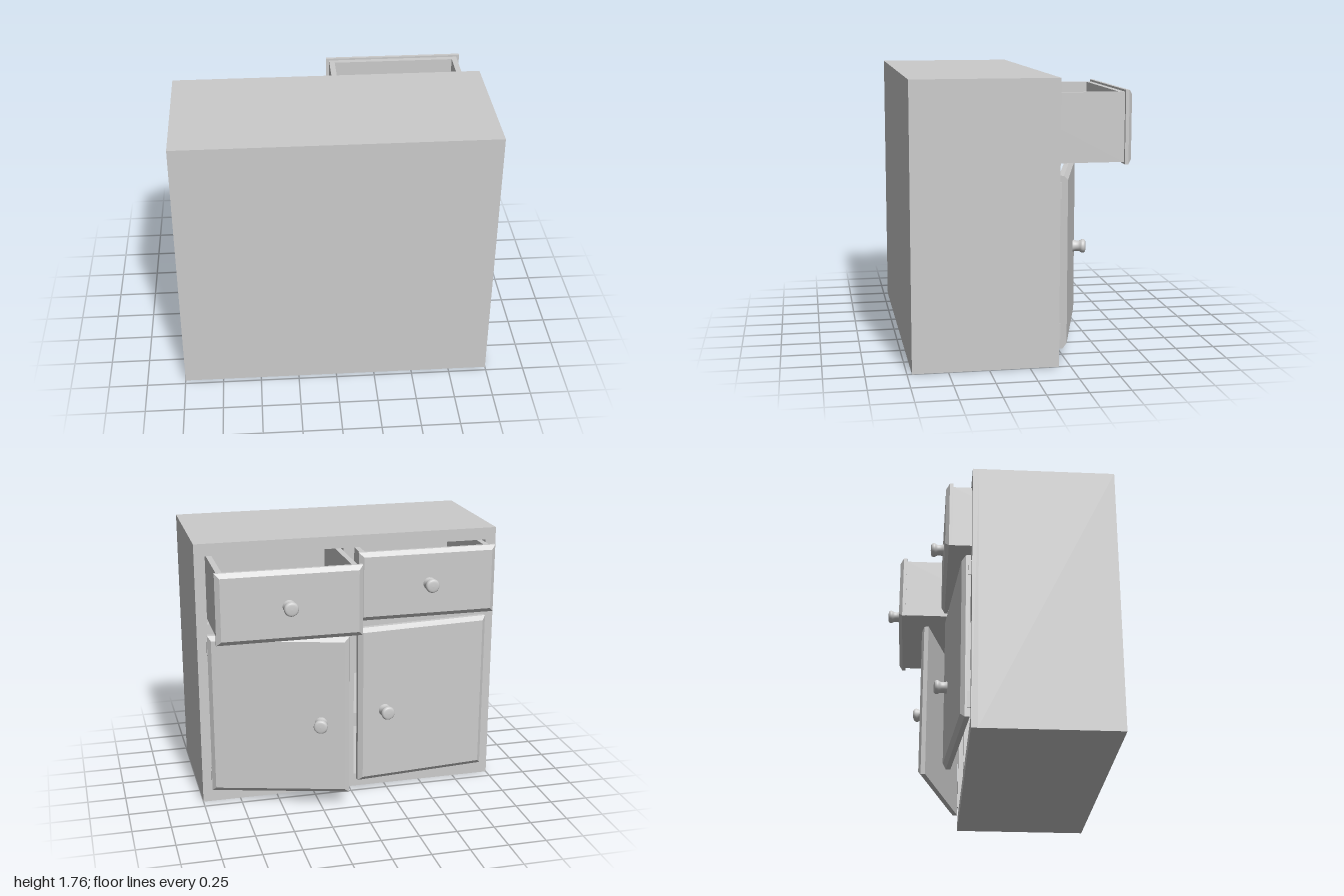
import * as THREE from 'three';

const mat = new THREE.MeshStandardMaterial({ color: 0xcccccc });
const FRONT = -0.18; // the doors and drawers open towards -z

function add(parent, name, geometry, x = 0, y = 0, z = 0) {
  const mesh = new THREE.Mesh(geometry, mat);
  mesh.name = name;
  mesh.position.set(x, y, z);
  parent.add(mesh);
  return mesh;
}

function rect(Type, x0, y0, x1, y1) {
  const s = new Type();
  s.moveTo(x0, y0);
  s.lineTo(x1, y0);
  s.lineTo(x1, y1);
  s.lineTo(x0, y1);
  s.closePath();
  return s;
}

// Rectangular plate with rectangular holes, extruded along z
function plate(outer, holes, depth) {
  const shape = rect(THREE.Shape, ...outer);
  shape.holes = holes.map(h => rect(THREE.Path, ...h));
  return new THREE.ExtrudeGeometry(shape, { depth, bevelEnabled: false });
}

// Panel from z = 0 to z = -(edge + bevel), its outer face inset by a bevel
function bevelledPanel(w, h, edge, bevel) {
  const g = new THREE.BoxGeometry(w, h, 2, 1, 1, 2);
  const p = g.attributes.position;
  for (let i = 0; i < p.count; i++) {
    const level = 1 - Math.round(p.getZ(i)); // 0 back, 1 edge, 2 face
    const inset = level === 2 ? 0.028 : 0;
    p.setX(i, p.getX(i) - Math.sign(p.getX(i)) * inset);
    p.setY(i, p.getY(i) - Math.sign(p.getY(i)) * inset);
    p.setZ(i, [0, -edge, -edge - bevel][level]);
  }
  const flat = g.toNonIndexed();
  flat.computeVertexNormals();
  return flat;
}

// Turned knob pointing along -z
function knob() {
  const profile = new THREE.SplineCurve([
    [0.041, 0], [0.035, 0.02], [0.036, 0.042], [0.045, 0.06],
    [0.044, 0.073], [0.034, 0.083], [0, 0.086]
  ].map(([r, y]) => new THREE.Vector2(r, y)));
  const g = new THREE.LatheGeometry(profile.getPoints(24), 28);
  g.rotateX(-Math.PI / 2);
  return g;
}

function createDrawer(side, out) {
  const drawer = new THREE.Group();
  drawer.name = side > 0 ? 'leftDrawer' : 'rightDrawer';
  const w = 0.875, h = 0.425, len = 0.8, t = 0.036;
  const ring = plate([-w / 2, -len / 2, w / 2, len / 2],
    [[-w / 2 + t, -len / 2 + t, w / 2 - t, len / 2 - t]], h);
  ring.rotateX(-Math.PI / 2);
  add(drawer, 'drawerWalls', ring, 0, -h / 2, len / 2);
  add(drawer, 'drawerBottom', new THREE.BoxGeometry(w - 2 * t, t, len - 2 * t), 0, -h / 2 + t / 2, len / 2);
  add(drawer, 'drawerFront', bevelledPanel(0.915, 0.45, 0.022, 0.023));
  add(drawer, 'drawerKnob', knob(), side > 0 ? 0.01 : -0.007, 0, -0.044);
  drawer.position.set(side * (side > 0 ? 0.479 : 0.487), 1.454, out);
  return drawer;
}

function createDoor(side, angle) {
  const door = new THREE.Group();
  door.name = side > 0 ? 'leftDoor' : 'rightDoor';
  const w = 0.905, h = 1.075;
  add(door, 'doorPanel', bevelledPanel(w, h, 0.03, 0.024), -side * w / 2);
  add(door, 'doorKnob', knob(), -side * 0.725, -0.042, -0.053);
  door.position.set(side * 0.932, 0.632, FRONT - 0.004);
  door.rotation.y = -side * angle;
  return door;
}

export function createModel() {
  const model = new THREE.Group();
  model.name = 'cabinet';

  // Hollow carcass: shell, back wall and one shelf
  const frameT = 0.04;
  add(model, 'shell', plate([-1, 0, 1, 1.76], [[-0.93, 0.09, 0.93, 1.68]], 0.9 - frameT), 0, 0, FRONT + frameT);
  add(model, 'backWall', new THREE.BoxGeometry(1.86, 1.59, 0.07), 0, 0.885, 0.685);
  add(model, 'shelf', new THREE.BoxGeometry(1.86, 0.075, 0.78), 0, 0.478, 0.26);

  // Face frame with two drawer openings above two door openings
  const holes = [];
  for (const [a, b] of [[-0.93, -0.035], [0.035, 0.93]]) {
    holes.push([a, 1.235, b, 1.68], [a, 0.09, b, 1.16]);
  }
  add(model, 'faceFrame', plate([-1, 0, 1, 1.76], holes, frameT), 0, 0, FRONT);

  // Drawers pulled out and doors ajar by different amounts
  model.add(createDrawer(1, -0.59), createDrawer(-1, -0.3));
  model.add(createDoor(1, 0.273), createDoor(-1, 0.09));

  // Hinges on the outer edge of each door
  for (const side of [-1, 1]) {
    for (const y of [0.203, 1.08]) {
      add(model, 'hinge', new THREE.BoxGeometry(0.018, 0.1, 0.022), side * 0.931, y, FRONT - 0.01);
    }
  }
  return model;
}
